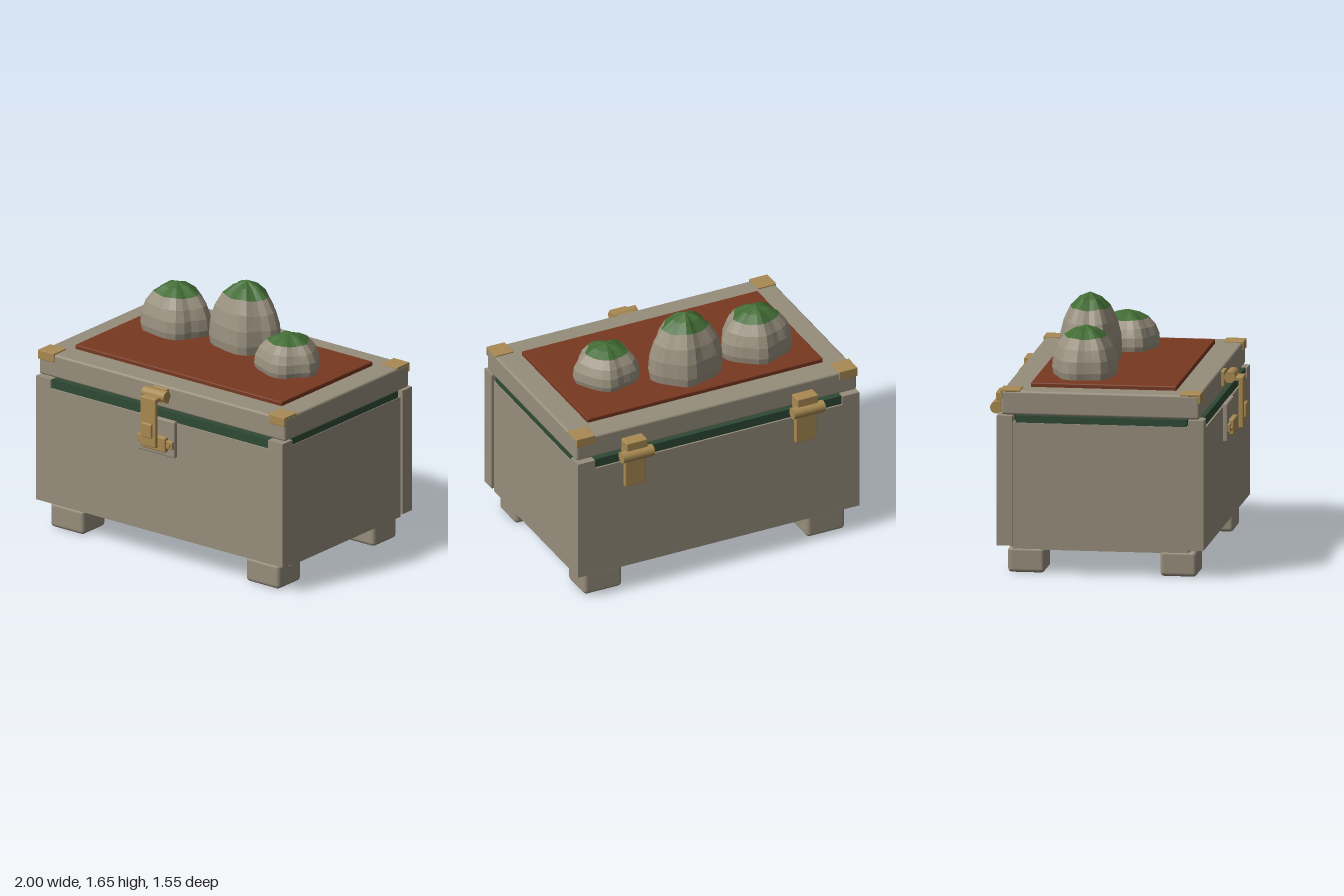
import * as THREE from 'three';
import { RoundedBoxGeometry } from 'three/addons/geometries/RoundedBoxGeometry.js';

export function createModel() {
  const root = new THREE.Group();
  root.name = 'chest';
  const mat = (name, color) => {
    const m = new THREE.MeshStandardMaterial({ color });
    m.name = name;
    return m;
  };
  const stone = mat('stone', 0x978e7c);
  const brass = mat('brass', 0xa98a52);
  const rust = mat('rust', 0x783820);
  const seal = mat('dark green', 0x2f4a36);
  const moss = mat('moss', 0x426c34);
  const rock = mat('rock', 0x9a917f);
  rock.flatShading = moss.flatShading = true;

  const add = (name, geo, material, parent = root) => {
    const mesh = new THREE.Mesh(geo, material);
    mesh.name = name;
    parent.add(mesh);
    return mesh;
  };
  // box given by its extents, with an optional rounded edge
  const box = (name, m, x0, x1, y0, y1, z0, z1, r = 0, parent = root) => {
    const s = [x1 - x0, y1 - y0, z1 - z0];
    const geo = r ? new RoundedBoxGeometry(...s, 2, r) : new THREE.BoxGeometry(...s);
    add(name, geo, m, parent).position.set((x0 + x1) / 2, (y0 + y1) / 2, (z0 + z1) / 2);
  };
  const barrel = (name, m, x, y, z, r, len, parent = root) => {
    const mesh = add(name, new THREE.CylinderGeometry(r, r, len, 20), m, parent);
    mesh.rotation.z = Math.PI / 2;
    mesh.position.set(x, y, z);
  };

  // body panels and floor
  box('frontPanel', stone, -1, 1, 0.19, 0.97, 0.54, 0.64);
  box('backPanel', stone, -1, 1, 0.19, 0.97, -0.69, -0.59);
  box('floor', stone, -0.92, 0.92, 0.155, 0.21, -0.6, 0.55);
  for (const s of [-1, 1]) {
    const [a, b] = s < 0 ? [-0.985, -0.89] : [0.89, 0.985];
    box('sidePanel', stone, a, b, 0.17, 0.985, -0.59, 0.54);
    box('sideSeal', seal, a + 0.005, b - 0.005, 0.97, 1.03, -0.572, 0.528);
  }
  box('frontSeal', seal, -0.88, 0.88, 0.97, 1.03, 0.55, 0.628);
  box('backSeal', seal, -0.88, 0.88, 0.97, 1.03, -0.678, -0.6);

  // corner blocks and feet
  for (const s of [-1, 1]) {
    const [a, b] = s < 0 ? [-1, -0.88] : [0.88, 1];
    const [c, d] = s < 0 ? [-0.93, -0.66] : [0.655, 0.925];
    box('cornerBlock', stone, a, b, 0.97, 1.03, 0.54, 0.64);
    box('cornerBlock', stone, a, b, 0.97, 1.03, -0.69, -0.59);
    box('foot', stone, c, d, 0.005, 0.17, 0.35, 0.585, 0.025);
    box('foot', stone, c, d, 0.005, 0.17, -0.63, -0.393, 0.025);
  }

  // lid with a raised panel
  box('lid', stone, -0.997, 0.997, 1.037, 1.192, -0.66, 0.612, 0.015);
  box('lidPanel', rust, -0.84, 0.835, 1.18, 1.22, -0.495, 0.442, 0.008);

  // folded brass corners: top plate and outer plate
  for (const sx of [-1, 1]) {
    const [a, b] = sx < 0 ? [-1, -0.87] : [0.868, 0.998];
    for (const front of [true, false]) {
      const g = new THREE.Group();
      g.name = 'lidCorner';
      root.add(g);
      if (front) {
        box('topPlate', brass, a, b, 1.185, 1.201, 0.49, 0.62, 0.004, g);
        box('outerPlate', brass, a, b, 1.14, 1.2, 0.606, 0.62, 0.004, g);
      } else {
        box('topPlate', brass, a, b, 1.185, 1.201, -0.668, -0.54, 0.004, g);
        box('outerPlate', brass, a, b, 1.14, 1.2, -0.668, -0.654, 0.004, g);
      }
    }
  }

  // front latch
  const latch = new THREE.Group();
  latch.name = 'latch';
  root.add(latch);
  box('backPlate', stone, -0.15, 0.145, 0.74, 0.987, 0.635, 0.668, 0.008, latch);
  box('catchTab', brass, -0.145, 0.14, 0.8, 0.855, 0.66, 0.686, 0.006, latch);
  box('catch', brass, -0.095, 0.092, 0.775, 0.875, 0.66, 0.7, 0.008, latch);
  for (const x of [-0.117, 0.112]) {
    const screw = add('screw', new THREE.CylinderGeometry(0.015, 0.015, 0.02, 12), brass, latch);
    screw.rotation.x = Math.PI / 2;
    screw.position.set(x, 0.826, 0.687);
  }
  barrel('pivot', brass, -0.002, 1.147, 0.672, 0.036, 0.18, latch);
  box('pivotPlate', brass, -0.06, 0.056, 1.08, 1.18, 0.605, 0.635, 0.006, latch);
  box('link', brass, -0.064, 0.06, 1.118, 1.148, 0.67, 0.757, 0.008, latch);
  box('hasp', brass, -0.064, 0.06, 0.815, 1.148, 0.726, 0.757, 0.008, latch);
  box('button', brass, -0.043, 0.039, 0.88, 0.977, 0.75, 0.775, 0.008, latch);

  // rear hinges
  for (const x of [-0.61, 0.605]) {
    const g = new THREE.Group();
    g.name = 'hinge';
    root.add(g);
    barrel('barrel', brass, x, 1.03, -0.735, 0.039, 0.222, g);
    box('upperLeaf', brass, x - 0.074, x + 0.074, 1.03, 1.125, -0.743, -0.655, 0.008, g);
    box('lowerLeaf', brass, x - 0.074, x + 0.074, 0.79, 1.03, -0.72, -0.685, 0.008, g);
  }

  // lobed domes: rows of [height share, radius share], capped with moss
  const rows = [[0, 0.96], [0.13, 1], [0.36, 0.97], [0.58, 0.85], [0.78, 0.64], [0.91, 0.36], [1, 0]];
  const N = 25, capRow = 4;
  const dome = (from, to, rx, rz, h, phase) => {
    const pos = [], idx = [];
    for (let j = from; j <= to; j++) {
      for (let i = 0; i < N; i++) {
        const t = (i / N) * Math.PI * 2;
        const k = rows[j][1] * (0.95 + 0.06 * Math.cos(5 * (t - phase)) + 0.018 * Math.sin(8 * t + phase));
        const wave = j >= 3 && j < 6 ? 0.015 * Math.cos(5 * (t - phase)) * h : 0;
        pos.push(rx * k * Math.cos(t), rows[j][0] * h + wave, rz * k * Math.sin(t));
      }
    }
    for (let j = 0; j < to - from; j++) {
      for (let i = 0; i < N; i++) {
        const a = j * N + i, b = j * N + ((i + 1) % N);
        idx.push(a, a + N, b);
        if (j + from < rows.length - 2) idx.push(b, a + N, b + N);
      }
    }
    const geo = new THREE.BufferGeometry();
    geo.setAttribute('position', new THREE.Float32BufferAttribute(pos, 3));
    geo.setIndex(idx);
    geo.computeVertexNormals();
    return geo;
  };
  const stones = [
    [-0.51, -0.19, 0.245, 0.215, 0.325, 1.1],
    [0.015, -0.24, 0.253, 0.205, 0.44, -0.05],
    [0.49, -0.07, 0.22, 0.21, 0.245, 0.05],
  ];
  for (const [x, z, rx, rz, h, phase] of stones) {
    const g = new THREE.Group();
    g.name = 'mossyRock';
    g.position.set(x, 1.219, z);
    root.add(g);
    add('rockSides', dome(0, capRow, rx, rz, h, phase), rock, g);
    add('mossCap', dome(capRow, rows.length - 1, rx, rz, h, phase), moss, g);
  }
  return root;
}
